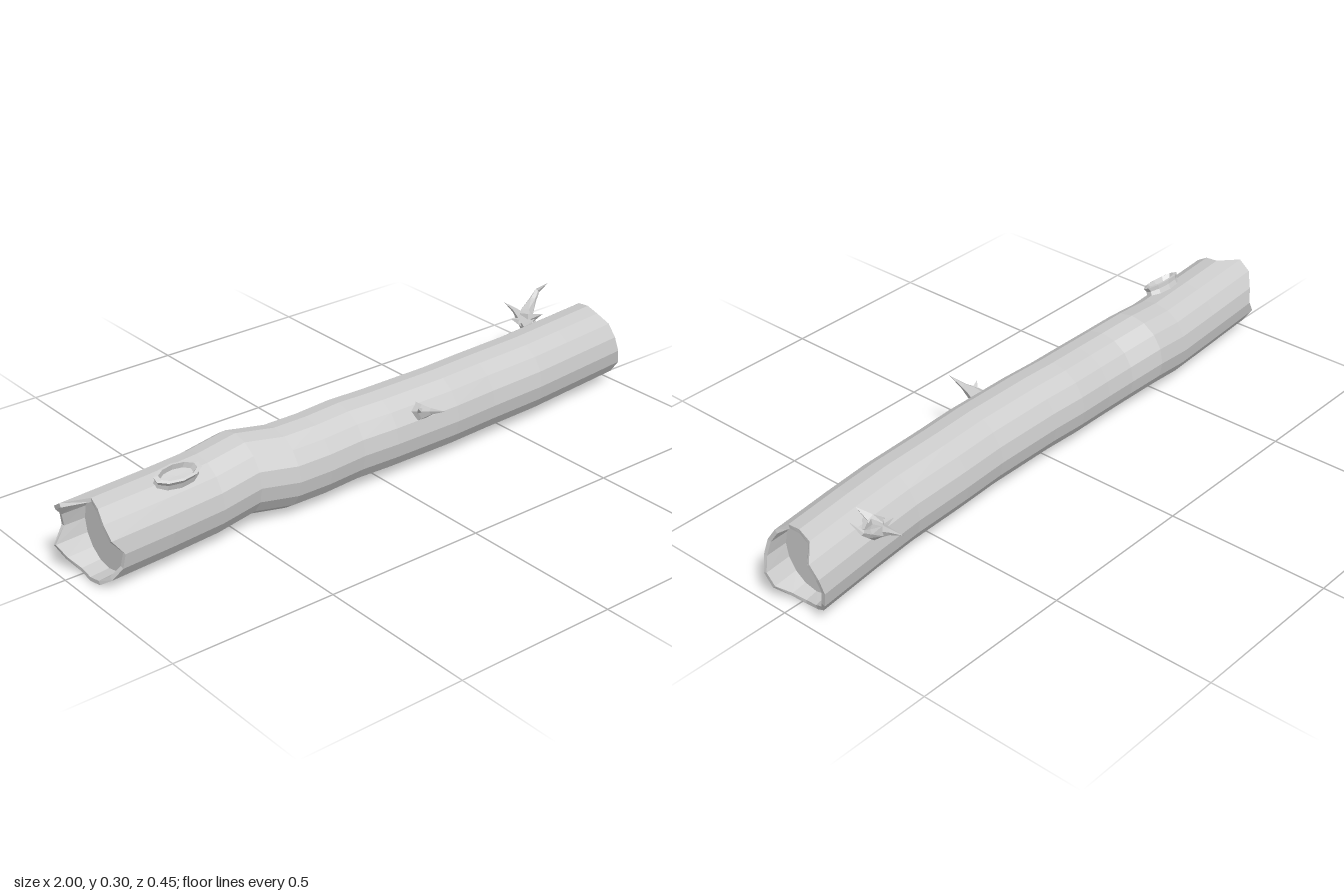
import * as THREE from 'three';

const SIDES = 16;
const V = (x, y, z) => new THREE.Vector3(x, y, z);

// Skin a list of equally sized point rings into a faceted surface
function loft(rings) {
  const n = rings[0].length;
  const pos = rings.flat().flatMap((p) => [p.x, p.y, p.z]);
  const index = [];
  for (let i = 0; i < rings.length - 1; i++) {
    for (let k = 0; k < n; k++) {
      const a = i * n + k, b = i * n + ((k + 1) % n);
      index.push(a, b, a + n, b, b + n, a + n);
    }
  }
  const g = new THREE.BufferGeometry();
  g.setAttribute('position', new THREE.Float32BufferAttribute(pos, 3));
  g.setIndex(index);
  const flat = g.toNonIndexed();
  flat.computeVertexNormals();
  return flat;
}

// Centre line of the trunk: x, y, z
const SPINE = [
  [-1, 0.122, 0.049], [-0.75, 0.122, 0.032], [-0.58, 0.124, 0.019], [-0.45, 0.139, 0.010],
  [-0.33, 0.124, 0.027], [-0.22, 0.124, 0.028], [-0.1, 0.128, 0.024], [0.02, 0.128, 0.029],
  [0.25, 0.128, 0.029], [0.4, 0.128, 0.021], [0.6, 0.128, 0.014], [0.75, 0.128, 0], [1, 0.126, -0.026],
];

function spineAt(x) {
  let i = 0;
  while (i < SPINE.length - 2 && x > SPINE[i + 1][0]) i++;
  const [a, b] = [SPINE[i], SPINE[i + 1]];
  const t = (x - a[0]) / (b[0] - a[0]);
  return [a[1] + (b[1] - a[1]) * t, a[2] + (b[2] - a[2]) * t];
}

// Ring around the spine; xs is one x, or one per corner for a broken end
function trunkRing(xs, radius) {
  return Array.from({ length: SIDES }, (_, k) => {
    const x = Array.isArray(xs) ? xs[k] : xs;
    const [y, z] = spineAt(x);
    const a = (k / SIDES) * Math.PI * 2;
    return V(x, y + Math.cos(a) * radius, z + Math.sin(a) * radius);
  });
}

// Curved thorn: faceted taper through [x, y, z, radius] points
function thorn(points, sides = 5) {
  const c = points.map(([x, y, z]) => V(x, y, z));
  return loft(points.map((p, i) => {
    const dir = c[Math.min(i + 1, c.length - 1)].clone().sub(c[Math.max(i - 1, 0)]).normalize();
    const u = V(1, 0.3, 0).addScaledVector(dir, -V(1, 0.3, 0).dot(dir)).normalize();
    const v = dir.clone().cross(u);
    return Array.from({ length: sides }, (_, k) => {
      const a = (k / sides) * Math.PI * 2;
      return c[i].clone().addScaledVector(u, Math.cos(a) * p[3]).addScaledVector(v, Math.sin(a) * p[3]);
    });
  }));
}

export function createModel() {
  const model = new THREE.Group();
  model.name = 'hollowLog';
  const wood = new THREE.MeshStandardMaterial({ color: 0xcccccc, flatShading: true });
  wood.name = 'paleWood';

  const add = (name, geometry, parent = model) => {
    const mesh = new THREE.Mesh(geometry, wood);
    mesh.name = name;
    parent.add(mesh);
    return mesh;
  };

  // Trunk: one shell with ragged hollow ends and recessed end faces
  const leftEnd = [-0.93, -0.94, -0.95, -0.945, -0.91, -0.915, -0.935, -0.95,
    -0.95, -0.95, -0.97, -0.99, -0.955, -0.965, -0.995, -1];
  const rightEnd = [0.945, 0.94, 0.955, 0.96, 0.97, 0.985, 0.98, 0.95,
    0.94, 0.945, 0.96, 0.98, 0.985, 0.995, 1, 0.955];
  const R = 0.121, INNER = 0.109;
  add('trunk', loft([
    trunkRing(-0.89, 0), trunkRing(-0.89, INNER - 0.003), trunkRing(leftEnd, INNER),
    trunkRing(leftEnd, R),
    ...SPINE.slice(1, -1).map(([x]) => trunkRing(x, R)),
    trunkRing(rightEnd, R),
    trunkRing(rightEnd, INNER), trunkRing(0.9, INNER - 0.003), trunkRing(0.9, 0),
  ]));

  // Knot hole: low oval collar with a sunken middle
  const collar = [[1, -0.025], [0.9, 0.005], [1, 0.018], [0.8, 0.02], [0.68, 0.004], [0, 0.002]]
    .map(([r, y]) => new THREE.Vector2(r, y));
  const knot = add('knotHole', new THREE.LatheGeometry(collar, 10));
  knot.scale.set(0.075, 1, 0.033);
  knot.rotation.x = 0.4;
  knot.position.set(-0.69, 0.238, 0.08);

  // Single thorn on the front
  const frontThorn = new THREE.Group();
  frontThorn.name = 'frontThorn';
  model.add(frontThorn);
  add('frontSpike', thorn([
    [0.115, 0.185, 0.11, 0.034], [0.115, 0.199, 0.145, 0.022],
    [0.12, 0.21, 0.175, 0.01], [0.125, 0.228, 0.226, 0],
  ]), frontThorn);
  add('frontBarb', thorn([[0.12, 0.19, 0.12, 0.02], [0.105, 0.205, 0.145, 0.012], [0.085, 0.222, 0.155, 0]], 4), frontThorn);

  // Broken branch stub on the back with several splinters
  const stub = new THREE.Group();
  stub.name = 'branchStub';
  model.add(stub);
  add('hookedSplinter', thorn([
    [0.76, 0.195, -0.1, 0.035], [0.80, 0.22, -0.148, 0.022],
    [0.845, 0.248, -0.166, 0.012], [0.872, 0.27, -0.174, 0.008], [0.89, 0.3, -0.146, 0],
  ]), stub);
  add('straightSplinter', thorn([
    [0.77, 0.195, -0.09, 0.035], [0.778, 0.212, -0.145, 0.02],
    [0.78, 0.225, -0.18, 0.009], [0.78, 0.235, -0.228, 0],
  ]), stub);
  add('shortSplinter', thorn([[0.78, 0.2, -0.1, 0.025], [0.755, 0.21, -0.13, 0.014], [0.727, 0.222, -0.14, 0]], 4), stub);
  add('rootSplinter', thorn([[0.775, 0.208, -0.13, 0.026], [0.772, 0.226, -0.1, 0.015], [0.785, 0.25, -0.06, 0]], 4), stub);

  return model;
}
